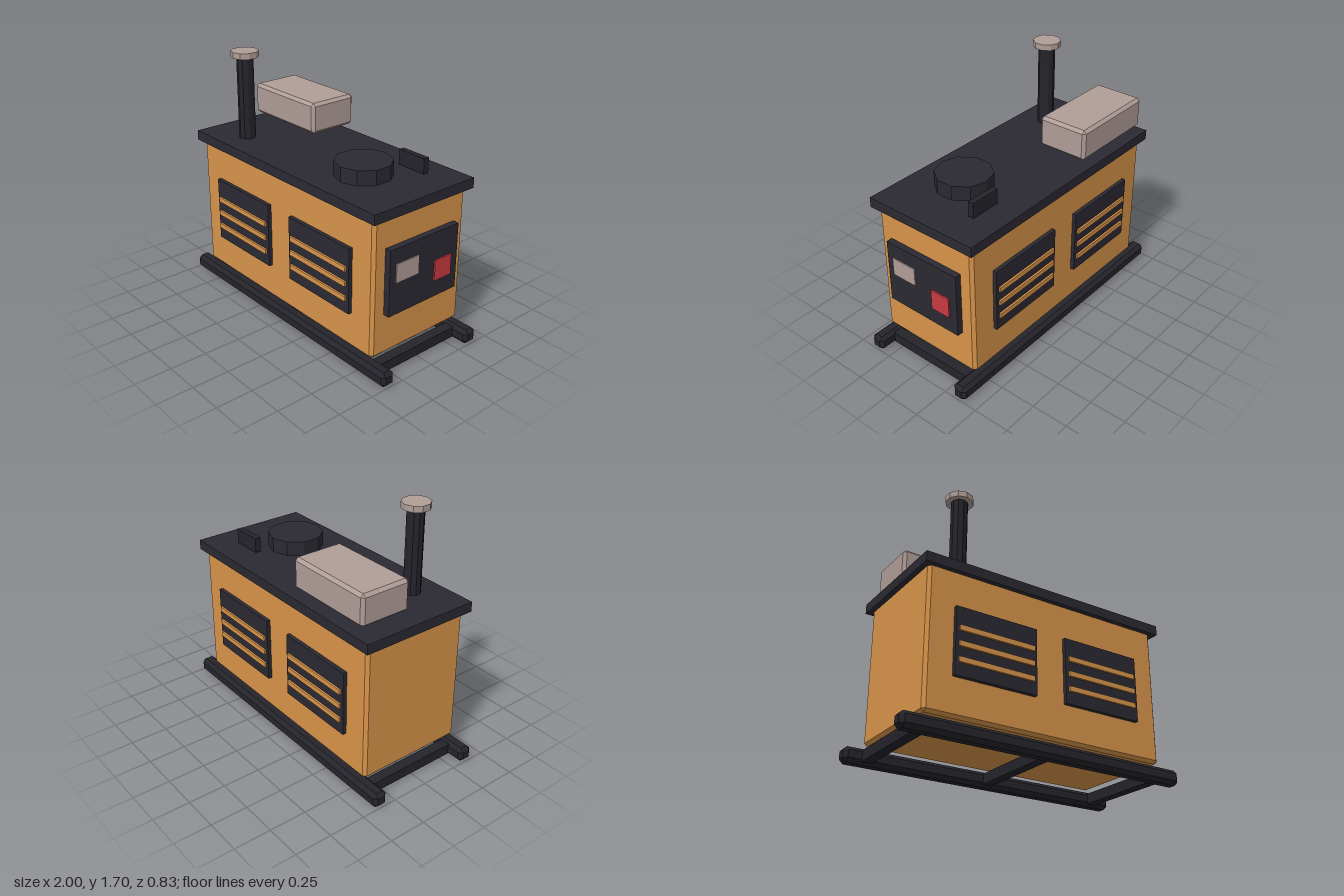
import * as THREE from 'three';
import { ConvexGeometry } from 'three/addons/geometries/ConvexGeometry.js';

const mat = (color) => new THREE.MeshStandardMaterial({ color, flatShading: true });

// Box with a single flat bevel on every edge
function bevelBox(w, h, d, b) {
  const points = [];
  for (const x of [-w / 2, w / 2])
    for (const y of [-h / 2, h / 2])
      for (const z of [-d / 2, d / 2]) {
        const ix = x - Math.sign(x) * b, iy = y - Math.sign(y) * b, iz = z - Math.sign(z) * b;
        points.push(
          new THREE.Vector3(x, iy, iz),
          new THREE.Vector3(ix, y, iz),
          new THREE.Vector3(ix, iy, z),
        );
      }
  return new ConvexGeometry(points);
}

export function createModel() {
  const model = new THREE.Group();
  model.name = 'generator';
  const orange = mat(0xd8944a), dark = mat(0x2b2932), black = mat(0x24242b);
  const grey = mat(0xb09d98), red = mat(0xc93a42);

  const add = (name, geometry, material, x, y, z, parent = model) => {
    const mesh = new THREE.Mesh(geometry, material);
    mesh.name = name;
    mesh.position.set(x, y, z);
    parent.add(mesh);
    return mesh;
  };
  // Plain box given by its limits on each axis
  const box = (name, material, [x0, x1], [y0, y1], [z0, z1], parent) =>
    add(name, new THREE.BoxGeometry(x1 - x0, y1 - y0, z1 - z0), material,
      (x0 + x1) / 2, (y0 + y1) / 2, (z0 + z1) / 2, parent);

  // Skid frame: two runners joined by three cross bars
  for (const z of [-0.36, 0.36]) add('skidRunner', bevelBox(2, 0.1, 0.1, 0.025), black, 0, 0.05, z);
  for (const x of [-0.85, 0, 0.85])
    box('skidCrossBar', black, [x - 0.035, x + 0.035], [0.015, 0.085], [-0.33, 0.33]);

  // Housing and roof
  add('housing', bevelBox(1.715, 0.935, 0.755, 0.02), orange, 0, 0.5925, 0);
  box('roof', dark, [-0.893, 0.893], [1.04, 1.107], [-0.41, 0.41]);

  // Louvred vents, two on each long side
  for (const side of [0, Math.PI])
    for (const x of [-0.393, 0.393]) {
      const vent = new THREE.Group();
      vent.name = 'vent';
      vent.rotation.y = side;
      model.add(vent);
      box('ventPanel', dark, [x - 0.285, x + 0.285], [0.37, 0.81], [0.36, 0.404], vent);
      for (const y of [0.47, 0.57, 0.67])
        box('ventSlat', orange, [x - 0.263, x + 0.263], [y - 0.017, y + 0.017], [0.385, 0.417], vent);
    }

  // Control panel on the end
  box('controlPanel', dark, [0.83, 0.9], [0.405, 0.845], [-0.285, 0.285]);
  box('display', grey, [0.88, 0.907], [0.62, 0.745], [0.052, 0.237]);
  box('stopButton', red, [0.88, 0.91], [0.52, 0.66], [-0.227, -0.085]);

  // Exhaust stack with cap
  add('exhaustPipe', new THREE.CylinderGeometry(0.056, 0.056, 0.58, 10), black, -0.574, 1.38, 0.215);
  add('exhaustCap', new THREE.CylinderGeometry(0.092, 0.092, 0.04, 10), grey, -0.574, 1.682, 0.215);

  // Fittings on top
  add('tank', bevelBox(0.637, 0.21, 0.352, 0.02), grey, -0.503, 1.27, -0.215);
  add('hatch', new THREE.CylinderGeometry(0.186, 0.186, 0.105, 10), dark, 0.425, 1.152, 0.067);
  box('hatchHandle', black, [0.463, 0.677], [1.118, 1.218], [-0.235, -0.195]);

  return model;
}
